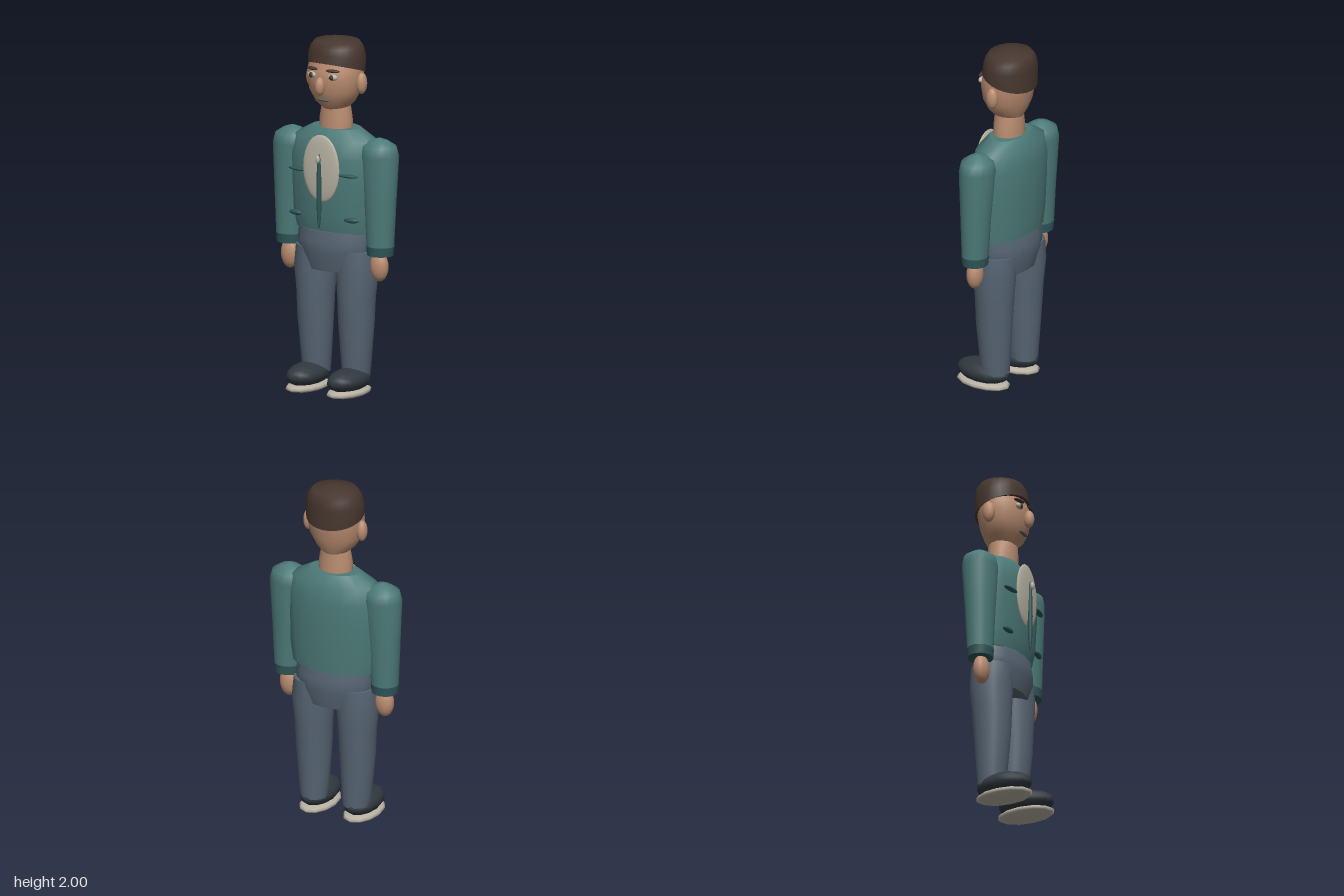
import * as THREE from 'three';

const mat = (name, color, side = THREE.FrontSide) => {
  const m = new THREE.MeshStandardMaterial({ color, side });
  m.name = name;
  return m;
};

// Smooth loft through elliptical rings [y, rx, rz, cx, cz, tilt], with flat caps.
function loft(rings, seg = 20) {
  const pos = [], idx = [];
  const addRing = ([y, rx, rz, cx = 0, cz = -0.045, tilt = 0]) => {
    const start = pos.length / 3;
    for (let i = 0; i < seg; i++) {
      const a = (i / seg) * Math.PI * 2;
      const dz = rz * Math.cos(a);
      pos.push(cx + rx * Math.sin(a), y + tilt * dz, cz + dz);
    }
    return start;
  };
  const starts = rings.map(addRing);
  for (let r = 0; r < rings.length - 1; r++) {
    for (let i = 0; i < seg; i++) {
      const j = (i + 1) % seg;
      const a = starts[r] + i, b = starts[r] + j;
      const c = starts[r + 1] + i, d = starts[r + 1] + j;
      idx.push(a, b, d, a, d, c);
    }
  }
  const cap = (ring, up) => {
    const s = addRing(ring), centre = pos.length / 3;
    pos.push(ring[3] ?? 0, ring[0], ring[4] ?? -0.045);
    for (let i = 0; i < seg; i++) {
      const a = s + i, b = s + ((i + 1) % seg);
      if (up) idx.push(centre, a, b);
      else idx.push(centre, b, a);
    }
  };
  cap(rings[0], false);
  cap(rings[rings.length - 1], true);
  const g = new THREE.BufferGeometry();
  g.setAttribute('position', new THREE.Float32BufferAttribute(pos, 3));
  g.setIndex(idx);
  g.computeVertexNormals();
  return g;
}

export function createModel() {
  const skin = mat('skin', 0xb98c70);
  const hair = mat('hair', 0x46362e);
  const jacket = mat('jacket', 0x4c7a78);
  const trim = mat('jacketTrim', 0x2f5558);
  const trousers = mat('trousers', 0x566473);
  const shoe = mat('shoeLeather', 0x30383f);
  const cream = mat('cream', 0xb8b2a3);
  const mouthTone = mat('mouth', 0x5a5f58);

  const model = new THREE.Group();
  model.name = 'standingMan';
  const add = (name, geometry, material) => {
    const m = new THREE.Mesh(geometry, material);
    m.name = name;
    model.add(m);
    return m;
  };
  // Ellipsoid from centre and half sizes
  const blob = (name, material, [x, y, z], [a, b, c], seg = 16, rows = 10) => {
    const g = new THREE.SphereGeometry(1, seg, rows);
    g.scale(a, b, c);
    const m = add(name, g, material);
    m.position.set(x, y, z);
    return m;
  };

  // Torso and hips
  add('torso', loft([
    [0.92, 0.255, 0.13, 0, -0.053],
    [1.02, 0.272, 0.146, 0, -0.046],
    [1.2, 0.285, 0.153],
    [1.34, 0.29, 0.155],
    [1.44, 0.26, 0.138, 0, -0.05],
    [1.5, 0.15, 0.095, 0, -0.053],
  ], 16), jacket);
  add('hips', loft([
    [0.7, 0.19, 0.124],
    [0.8, 0.23, 0.147],
    [0.86, 0.235, 0.147],
    [0.925, 0.23, 0.134],
  ], 16), trousers);

  // Neck and head
  add('neck', loft([
    [1.48, 0.098, 0.083],
    [1.55, 0.096, 0.083],
    [1.64, 0.078, 0.08],
  ], 16), skin);
  add('head', loft([
    [1.6, 0.062, 0.074, 0, -0.045],
    [1.65, 0.115, 0.108, 0, -0.037],
    [1.71, 0.15, 0.13, 0, -0.036],
    [1.78, 0.162, 0.142, 0, -0.038],
    [1.83, 0.163, 0.142, 0, -0.044],
    [1.88, 0.157, 0.131, 0, -0.054],
    [1.95, 0.14, 0.115, 0, -0.055],
  ], 24), skin);
  add('hair', loft([
    [1.832, 0.165, 0.147, 0, -0.05, 0.31],
    [1.91, 0.167, 0.143, 0, -0.054, 0.06],
    [1.955, 0.15, 0.136, 0, -0.054],
    [1.983, 0.127, 0.117, 0, -0.055],
    [1.998, 0.04, 0.04, 0, -0.045],
    [2.0, 0.004, 0.004, 0, -0.042],
  ], 28), hair);

  // Face
  blob('nose', skin, [0, 1.75, 0.114], [0.028, 0.052, 0.031]);
  blob('mouth', mouthTone, [0, 1.669, 0.081], [0.045, 0.009, 0.012]);

  // Jacket front
  blob('shirtFront', cream, [0, 1.285, 0.1], [0.121, 0.19, 0.02], 24, 14);
  blob('frontStrip', trim, [0, 1.16, 0.122], [0.015, 0.212, 0.014], 12, 12);
  blob('collarBead', cream, [0, 1.342, 0.135], [0.013, 0.023, 0.012], 12, 8);

  for (const s of [1, -1]) {
    const side = s > 0 ? 'left' : 'right';

    blob(side + 'Ear', skin, [s * 0.167, 1.76, -0.05], [0.029, 0.061, 0.035]);
    blob(side + 'EyeWhite', cream, [s * 0.068, 1.806, 0.089], [0.031, 0.018, 0.016]);
    blob(side + 'Pupil', hair, [s * 0.068, 1.806, 0.1], [0.014, 0.016, 0.01], 12, 8);
    const brow = blob(side + 'Eyebrow', hair, [s * 0.068, 1.841, 0.088], [0.041, 0.009, 0.015]);
    brow.rotation.y = s * 0.25;

    // Chest and waist pockets
    const chest = blob(side + 'ChestPocket', trim, [s * 0.172, 1.26, 0.088], [0.06, 0.01, 0.018]);
    chest.rotation.y = s * 0.15;
    const waist = blob(side + 'WaistPocket', trim, [s * 0.186, 1.01, 0.078], [0.046, 0.015, 0.016]);
    waist.rotation.y = s * 0.15;

    // Arm
    add(side + 'Sleeve', loft([
      [0.85, 0.077, 0.072, s * 0.303, -0.035],
      [1.1, 0.093, 0.083, s * 0.298, -0.038],
      [1.37, 0.114, 0.098, s * 0.29, -0.043],
      [1.425, 0.098, 0.088, s * 0.29, -0.043],
      [1.455, 0.05, 0.045, s * 0.29, -0.043],
      [1.468, 0.01, 0.01, s * 0.29, -0.043],
    ], 18), jacket);
    add(side + 'Cuff', loft([
      [0.81, 0.075, 0.071, s * 0.302, -0.035],
      [0.862, 0.08, 0.075, s * 0.302, -0.035],
    ], 18), trim);
    blob(side + 'Hand', skin, [s * 0.298, 0.745, -0.031], [0.055, 0.085, 0.044]);

    // Leg
    add(side + 'Leg', loft([
      [0.1, 0.076, 0.078, s * 0.132, -0.05],
      [0.16, 0.083, 0.084, s * 0.133, -0.047],
      [0.41, 0.101, 0.103, s * 0.136, -0.043],
      [0.55, 0.106, 0.111, s * 0.136, -0.045],
      [0.7, 0.12, 0.12, s * 0.138, -0.048],
      [0.82, 0.112, 0.117, s * 0.133, -0.048],
    ], 18), trousers);

    // Shoe
    blob(side + 'Shoe', shoe, [s * 0.137, 0.095, 0.031], [0.096, 0.067, 0.167], 12, 10);
    blob(side + 'Sole', cream, [s * 0.137, 0.029, 0.03], [0.098, 0.029, 0.17], 12, 8);
  }
  return model;
}
